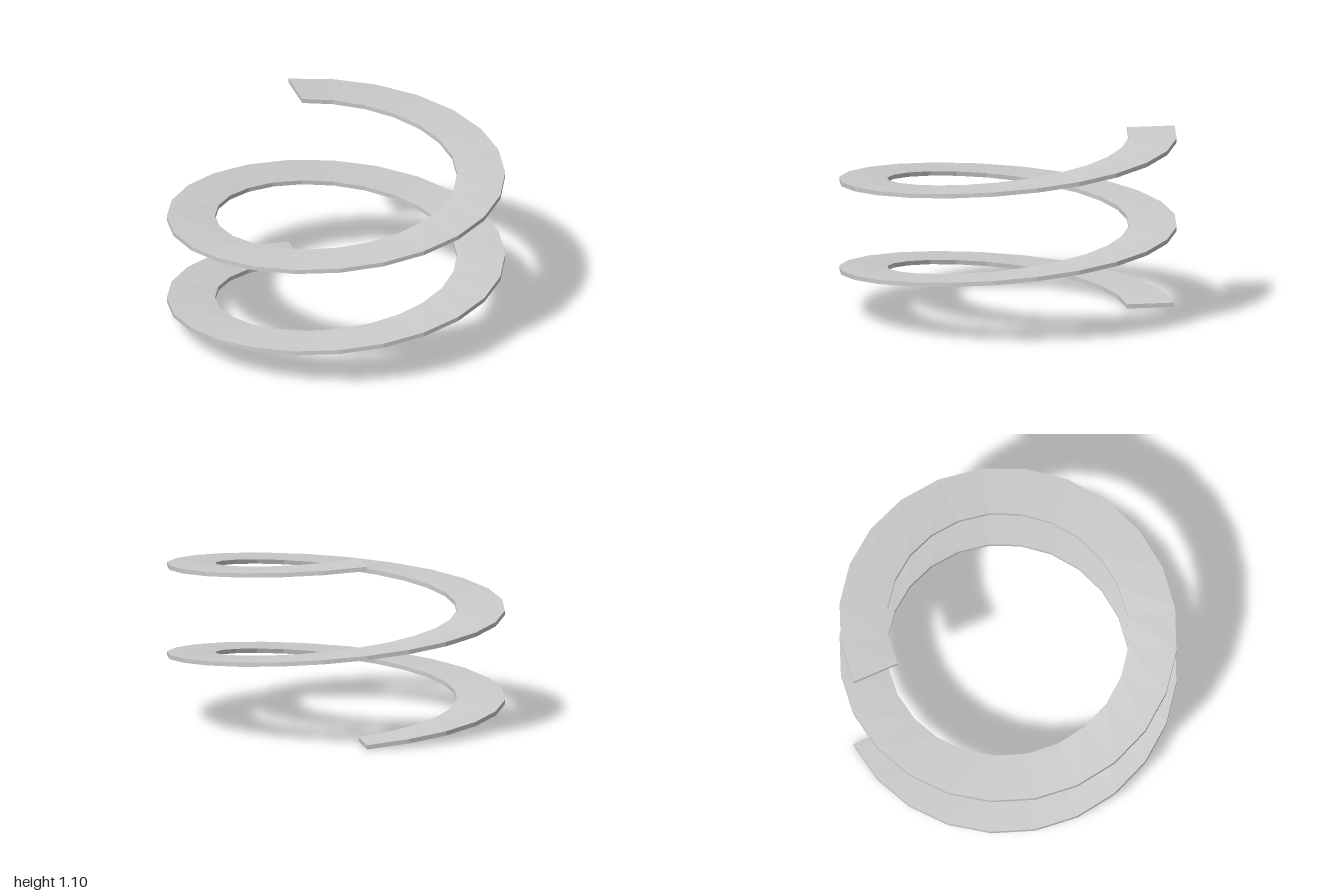
import * as THREE from 'three';

const OUTER = 1, INNER = 0.715, THICK = 0.026, PITCH = 0.535;
const TURNS = 2, SEGMENTS = 24;

// Flat rectangular section swept up a helix, closed at both ends
function helixRibbon() {
  const steps = TURNS * SEGMENTS;
  const section = [[INNER, 0], [OUTER, 0], [OUTER, THICK], [INNER, THICK]];
  const positions = [], index = [];
  for (let i = 0; i <= steps; i++) {
    const a = (i / SEGMENTS) * Math.PI * 2;
    const rise = (i / SEGMENTS) * PITCH;
    for (const [r, y] of section) positions.push(-r * Math.sin(a), y + rise, -r * Math.cos(a));
  }
  for (let i = 0; i < steps; i++) {
    for (let k = 0; k < 4; k++) {
      const a = i * 4 + k, b = i * 4 + (k + 1) % 4, c = a + 4, d = b + 4;
      index.push(a, c, d, a, d, b);
    }
  }
  // End caps
  const e = steps * 4;
  index.push(0, 1, 2, 0, 2, 3, e, e + 2, e + 1, e, e + 3, e + 2);

  const indexed = new THREE.BufferGeometry();
  indexed.setAttribute('position', new THREE.Float32BufferAttribute(positions, 3));
  indexed.setIndex(index);
  const geometry = indexed.toNonIndexed();
  geometry.computeVertexNormals();
  return geometry;
}

export function createModel() {
  const group = new THREE.Group();
  group.name = 'spiral';
  const material = new THREE.MeshStandardMaterial({
    color: 0xcccccc, flatShading: true, side: THREE.DoubleSide,
  });
  const ribbon = new THREE.Mesh(helixRibbon(), material);
  ribbon.name = 'helixRibbon';
  group.add(ribbon);
  return group;
}
